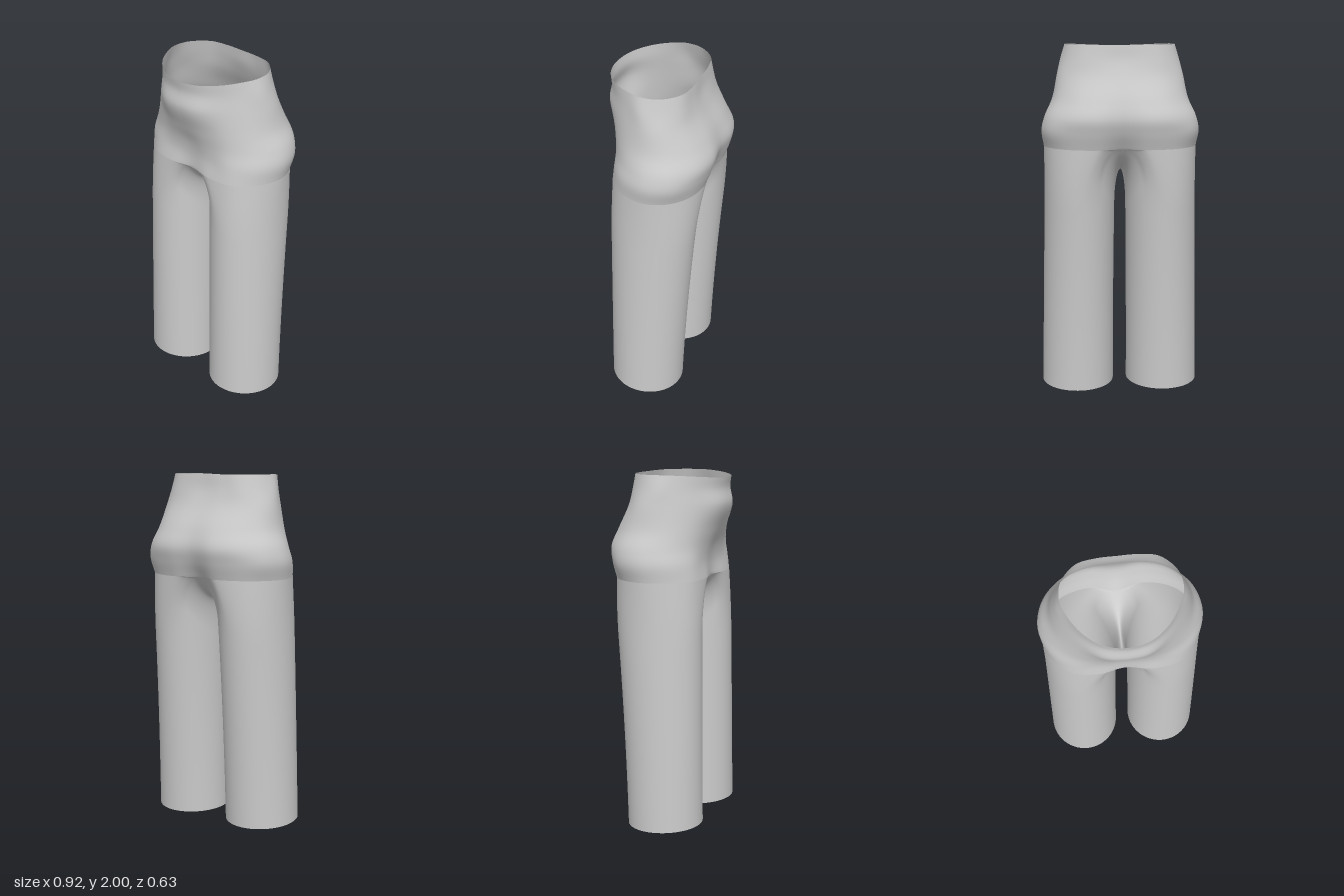
import * as THREE from 'three';
import { mergeGeometries, mergeVertices } from 'three/addons/utils/BufferGeometryUtils.js';

const OUTER = 48, INNER = 28, LEG_ROWS = 48, HIP_ROWS = 36;
const FORK = 1.43, CROTCH = 1.29, SPREAD = THREE.MathUtils.degToRad(125);
const { lerp, clamp } = THREE.MathUtils;

// Half outlines (x, z pairs from front centre round the side to back centre), fork to waist
const LEVELS = [
  [1.43, [0, .215, .14, .237, .29, .215, .395, .12, .437, -.02, .395, -.15, .29, -.24, .14, -.272, 0, -.235]],
  [1.52, [0, .217, .14, .225, .28, .207, .395, .115, .449, -.03, .41, -.17, .3, -.26, .15, -.3, 0, -.28]],
  [1.60, [0, .232, .13, .232, .265, .2, .375, .105, .43, -.03, .4, -.165, .29, -.27, .15, -.313, 0, -.3]],
  [1.70, [0, .27, .12, .258, .25, .205, .345, .105, .386, -.02, .36, -.14, .265, -.235, .14, -.277, 0, -.277]],
  [1.83, [0, .314, .12, .295, .23, .215, .315, .11, .358, 0, .335, -.1, .25, -.18, .13, -.215, 0, -.22]],
  [1.92, [0, .302, .12, .28, .22, .21, .295, .115, .337, .02, .31, -.085, .23, -.165, .12, -.19, 0, -.19]],
  [2.00, [0, .31, .12, .285, .215, .215, .28, .12, .312, .03, .295, -.07, .215, -.155, .11, -.178, 0, -.18]],
];

// Closed symmetric ring through each half outline; u 0..1 covers the left half
const rings = LEVELS.map(([y, o]) => {
  const half = [];
  for (let i = 0; i < o.length; i += 2) half.push(new THREE.Vector3(o[i], y, o[i + 1]));
  const mirrored = half.slice(1, -1).reverse().map(p => new THREE.Vector3(-p.x, p.y, p.z));
  return new THREE.CatmullRomCurve3([...half, ...mirrored], true, 'catmullrom', 0.5);
});

function ringPoint(k, u) {
  const p = rings[k].getPoint(u / 2);
  if (u === 0 || u === 1) p.x = 0;
  // the waistband dips slightly at the front
  if (k === rings.length - 1 && p.z > 0) p.y -= 0.02 * (p.z / 0.31) ** 2;
  return p;
}

// Oval leg section at height y
function legPoint(phi, y) {
  const outer = 0.46 - 0.021 * y, inner = 0.04 - 0.006 * y * y;
  const front = 0.255 - 0.012 * y, back = -0.178 - 0.035 * y - 0.021 * y * y;
  return new THREE.Vector3(
    (outer + inner) / 2 + (outer - inner) / 2 * Math.cos(phi), y,
    (front + back) / 2 + (front - back) / 2 * Math.sin(phi));
}

// Grid of quads from columns of points
function gridGeometry(columns) {
  const rows = columns[0].length, index = [];
  for (let c = 0; c < columns.length - 1; c++) {
    for (let r = 0; r < rows - 1; r++) {
      const a = c * rows + r, b = a + rows;
      index.push(a, b, b + 1, a, b + 1, a + 1);
    }
  }
  return new THREE.BufferGeometry().setFromPoints(columns.flat()).setIndex(index);
}

// Leg tube, from the hem up to the hip outline and the saddle-shaped crotch seam
function legGeometry() {
  const columns = [], first = ringPoint(0, 0), last = ringPoint(0, 1);
  for (let c = 0; c <= OUTER + INNER; c++) {
    let phi, top, weight;
    if (c <= OUTER || c === OUTER + INNER) {
      const u = c <= OUTER ? c / OUTER : 0;
      phi = SPREAD * (1 - 2 * u);
      top = ringPoint(0, u);
      weight = Math.max(0, 1 - Math.min(u, 1 - u) / 0.125);
    } else {
      phi = lerp(-SPREAD, SPREAD - 2 * Math.PI, (c - OUTER) / INNER);
      const q = Math.sin(phi) / Math.sin(SPREAD);
      top = new THREE.Vector3(0, lerp(CROTCH, FORK, Math.abs(q) ** 2.3), lerp(last.z, first.z, (q + 1) / 2));
      weight = 1;
    }
    const hem = 0.01 + 0.01 * Math.sin(phi);
    const shift = top.clone().sub(legPoint(phi, top.y));
    const column = [];
    for (let r = 0; r <= LEG_ROWS; r++) {
      const y = lerp(hem, top.y, 1 - (1 - r / LEG_ROWS) ** 2);
      const near = h => clamp((y - top.y + h) / h, 0, 1);
      const arch = 1 - Math.sqrt(1 - near(0.2) ** 2);
      column.push(legPoint(phi, y).addScaledVector(shift, lerp(near(0.35) ** 2, arch, weight)));
    }
    columns.push(column);
  }
  return gridGeometry(columns);
}

// Hips, seat and belly up to the open waist
function hipGeometry() {
  const columns = [];
  for (let c = 0; c <= OUTER; c++) {
    const curve = new THREE.CatmullRomCurve3(rings.map((_, k) => ringPoint(k, c / OUTER)), false, 'centripetal');
    columns.push(curve.getPoints(HIP_ROWS));
  }
  return gridGeometry(columns);
}

function mirrorX(geometry) {
  const copy = geometry.clone().scale(-1, 1, 1);
  copy.setIndex([...geometry.index.array].reverse());
  return copy;
}

export function createModel() {
  const group = new THREE.Group();
  group.name = 'trousers';
  const leftHalf = mergeGeometries([legGeometry(), hipGeometry()]);
  leftHalf.deleteAttribute('normal');
  const cloth = mergeVertices(mergeGeometries([leftHalf, mirrorX(leftHalf)]), 1e-4);
  cloth.computeVertexNormals();
  const mesh = new THREE.Mesh(cloth, new THREE.MeshStandardMaterial({ color: 0xcccccc, side: THREE.DoubleSide }));
  mesh.name = 'trouserCloth';
  group.add(mesh);
  return group;
}
